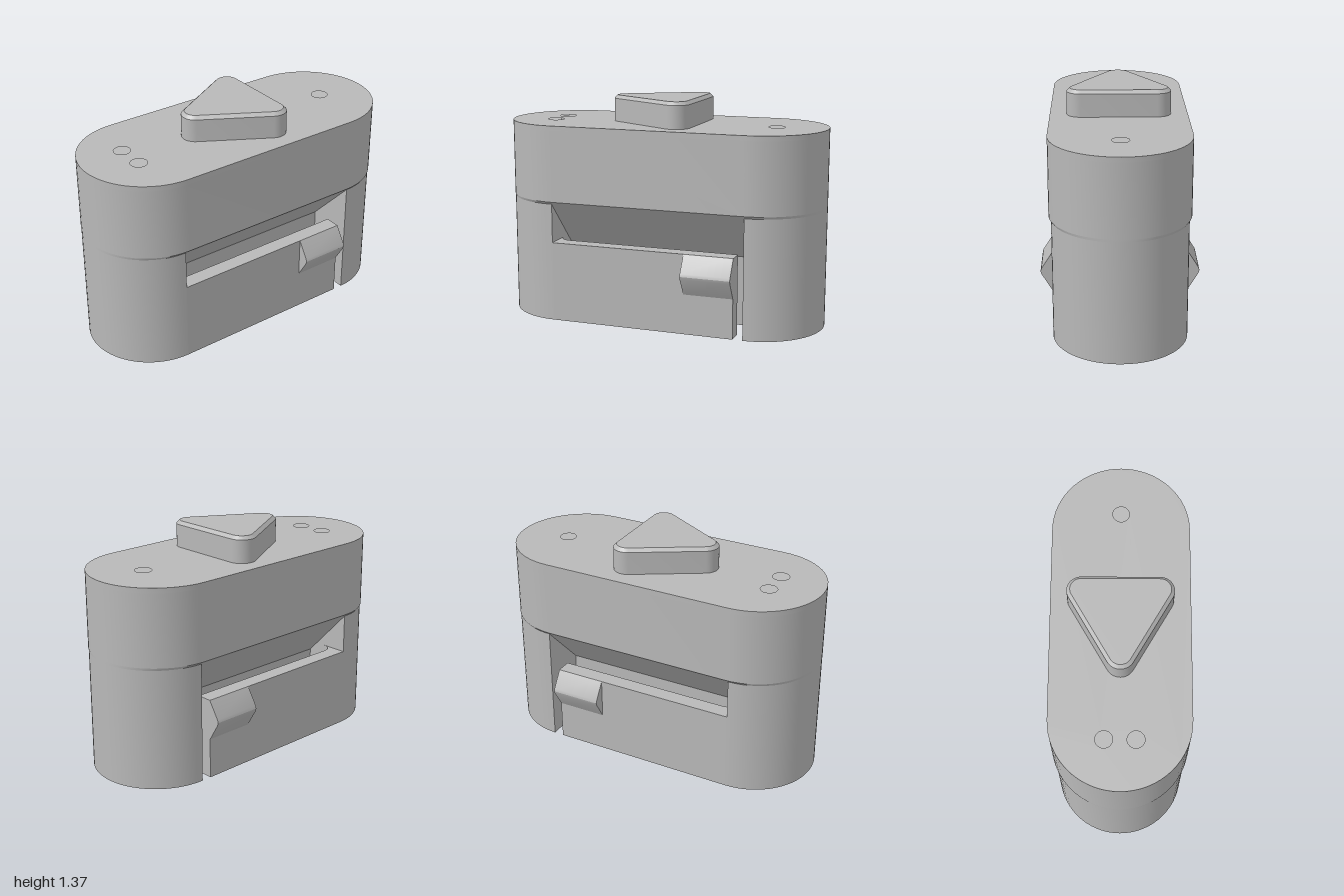
import * as THREE from 'three';
import { toCreasedNormals } from 'three/addons/utils/BufferGeometryUtils.js';

const grey = new THREE.MeshStandardMaterial({ color: 0xb8b8b8 });
grey.name = 'plain grey';

const V = (x, z) => new THREE.Vector2(x, z);

// points along an arc in plan, in (x, z)
function arc(cx, cz, r, from, to, n) {
  return Array.from({ length: n + 1 }, (_, i) => {
    const a = from + ((to - from) * i) / n;
    return V(cx + r * Math.cos(a), cz + r * Math.sin(a));
  });
}

// long outline with round ends reaching z = -1 and z = 1
function stadium(r) {
  return [...arc(0, 1 - r, r, 0, Math.PI, 32), ...arc(0, r - 1, r, Math.PI, 2 * Math.PI, 32)];
}

// plan outline in (x, z), raised from y0 to y1
function raise(points, y0, y1, options = {}, holes = []) {
  const shape = new THREE.Shape(points.map((p) => V(p.x, -p.y)));
  for (const [x, z, r] of holes) {
    shape.holes.push(new THREE.Path().absarc(x, -z, r, 0, Math.PI * 2, true));
  }
  const g = new THREE.ExtrudeGeometry(shape, { depth: y1 - y0, bevelEnabled: false, curveSegments: 16, ...options });
  return g.rotateX(-Math.PI / 2).translate(0, y0, 0);
}

// section in (x, y), extended from z0 to z1
function extend(points, z0, z1) {
  const shape = new THREE.Shape(points.map(([x, y]) => V(x, y)));
  return new THREE.ExtrudeGeometry(shape, { depth: z1 - z0, bevelEnabled: false }).translate(0, 0, z0);
}

// open band joining two outlines with equal point counts
function band(low, high, y0, y1) {
  const n = low.length;
  const pos = [];
  const index = [];
  low.forEach((p) => pos.push(p.x, y0, p.y));
  high.forEach((p) => pos.push(p.x, y1, p.y));
  for (let i = 0; i < n; i++) {
    const j = (i + 1) % n;
    index.push(i, n + i, j, j, n + i, n + j);
  }
  const g = new THREE.BufferGeometry();
  g.setAttribute('position', new THREE.Float32BufferAttribute(pos, 3));
  g.setIndex(index);
  return g;
}

export function createModel() {
  const model = new THREE.Group();
  const add = (name, geometry) => {
    const mesh = new THREE.Mesh(toCreasedNormals(geometry, 0.5), grey);
    mesh.name = name;
    model.add(mesh);
  };

  const R = 0.41, r = 0.395, end = 1 - r;
  const yBand = 0.73, yUpper = 0.745, yFloor = 1.18, yTop = 1.21;

  // upper housing, with shallow round holes in its top
  add('upperHousing', raise(stadium(R), yUpper, yFloor));
  add('topPlate', raise(stadium(R), yFloor, yTop, {}, [[-0.09, 0.705, 0.05], [0.09, 0.705, 0.05], [0, -0.69, 0.05]]));
  add('housingLip', band(stadium(r), stadium(R), yBand, yUpper));

  // rounded lower ends
  add('frontEnd', raise(arc(0, end, r, 0, Math.PI, 32), 0, yBand));
  add('backEnd', raise(arc(0, -end, r, Math.PI, 2 * Math.PI, 32), 0, yBand));

  // centre spine flaring out to the housing
  const half = [[0.11, 0], [0.11, 0.43], [r, yBand]];
  const mirrored = half.map(([x, y]) => [-x, y]).reverse();
  add('centreSpine', extend([...half, ...mirrored], -end, end));

  // spring arms rooted at the front, each with a catch near its free end
  const inner = 0.3, fillet = 0.07, tip = -0.545;
  for (const [side, s] of [['left', 1], ['right', -1]]) {
    const root = arc(inner - fillet, end - fillet, fillet, 0, Math.PI / 2, 8);
    const plan = [V(r, end), V(r, tip), V(inner, tip), ...root];
    add(side + 'SpringArm', raise(plan.map((p) => V(p.x * s, p.y)), 0, 0.49));

    const wedge = [[r - 0.01, 0.245], [r, 0.245], [0.46, 0.353], [0.465, 0.37], [0.46, 0.387], [r, 0.49], [r - 0.01, 0.49]];
    add(side + 'Catch', extend(wedge.map(([x, y]) => [x * s, y]), tip, -0.24));
  }

  // rounded triangular button with a chamfered rim
  const corner = 0.085;
  const triangle = [[0.225, -0.135, -90], [0, 0.255, 30], [-0.225, -0.135, 150]].flatMap(([x, z, a]) =>
    arc(x, z, corner, THREE.MathUtils.degToRad(a), THREE.MathUtils.degToRad(a + 120), 14));
  add('triangleButton', raise(triangle, 1.2, 1.35, {
    bevelEnabled: true, bevelSegments: 1, bevelThickness: 0.02, bevelSize: 0.02, bevelOffset: -0.02,
  }));

  return model;
}
